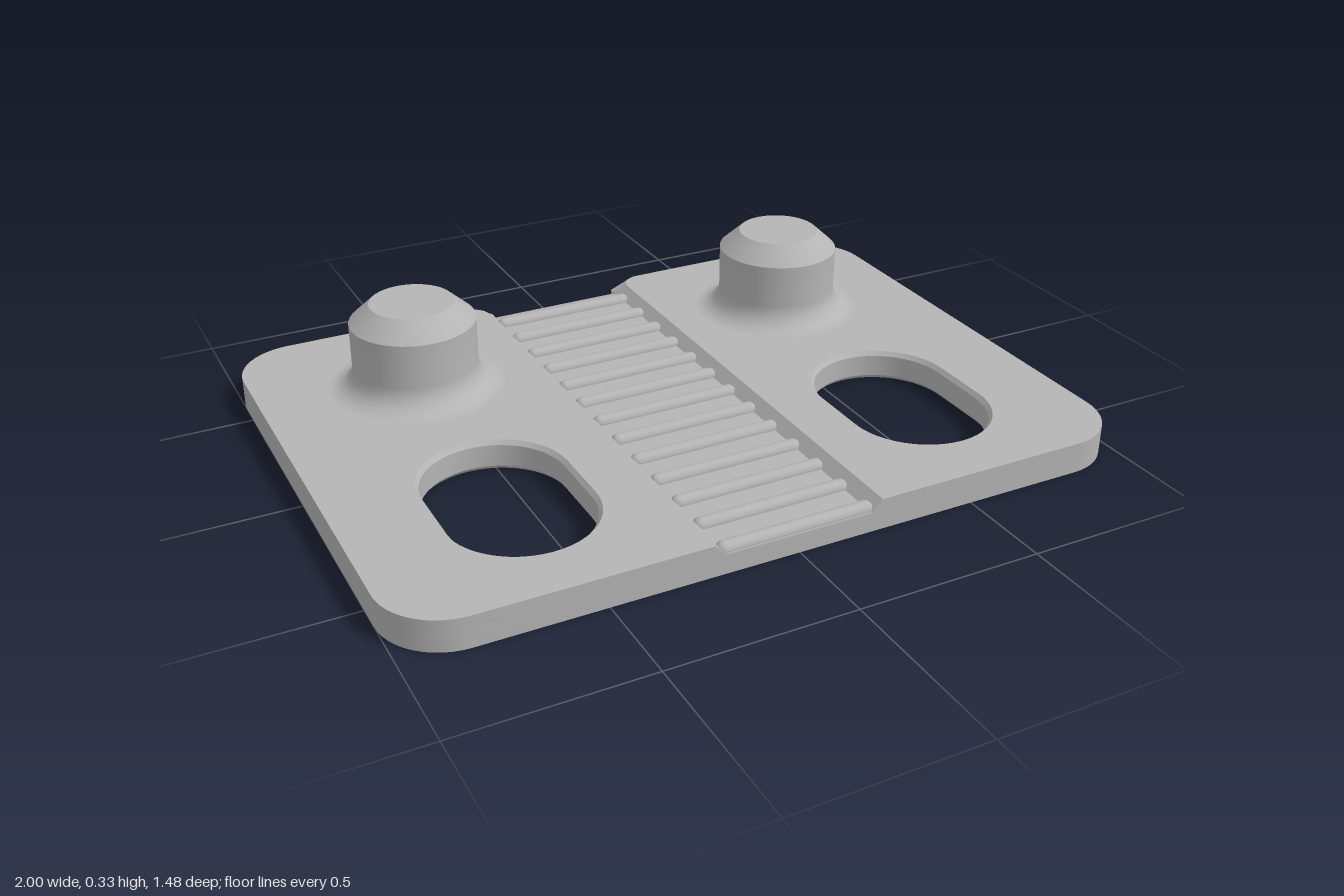
import * as THREE from 'three';
import { toCreasedNormals } from 'three/addons/utils/BufferGeometryUtils.js';

const H = 0.085, FLOOR = 0.054, W = 1, D = 0.74, CORNER = 0.17;
const PI = Math.PI;

export function createModel() {
  const group = new THREE.Group();
  const grey = new THREE.MeshStandardMaterial({ color: 0xb4b4b4, side: THREE.DoubleSide });
  grey.name = 'plain grey';

  const add = (name, geo, x = 0, y = 0, z = 0) => {
    const mesh = new THREE.Mesh(geo, grey);
    mesh.name = name;
    mesh.position.set(x, y, z);
    group.add(mesh);
  };

  // Plan points are (x, -z); arcs run from a0 to a1
  const arc = (cx, cy, r, a0, a1, n = 12) => Array.from({ length: n + 1 }, (_, i) => {
    const a = a0 + (a1 - a0) * i / n;
    return new THREE.Vector2(cx + r * Math.cos(a), cy + r * Math.sin(a));
  });
  const flip = (pts, s) => pts.map(p => new THREE.Vector2(p.x * s, p.y));
  const v = (x, y) => new THREE.Vector2(x, y);
  const slot = (s, r) => flip([...arc(0.573, -0.225, r, 0, PI, 24), ...arc(0.573, -0.395, r, PI, 2 * PI, 24)], s);

  const slabOf = (outline, holes, y0, y1) => {
    const shape = new THREE.Shape(outline);
    shape.holes = holes.map(h => new THREE.Path(h));
    const g = new THREE.ExtrudeGeometry(shape, { depth: y1 - y0, bevelEnabled: false });
    g.rotateX(-PI / 2).translate(0, y0, 0);
    return toCreasedNormals(g, 0.5);
  };

  // Skin a list of cross-sections, each an array of Vector3
  const loft = (rows) => {
    const n = rows[0].length, pos = rows.flat().flatMap(p => p.toArray()), index = [];
    for (let i = 0; i < rows.length - 1; i++) {
      for (let j = 0; j < n - 1; j++) {
        const a = i * n + j, b = a + n;
        index.push(a, b, a + 1, a + 1, b, b + 1);
      }
    }
    const g = new THREE.BufferGeometry();
    g.setAttribute('position', new THREE.Float32BufferAttribute(pos, 3));
    g.setIndex(index);
    return toCreasedNormals(g, 0.5);
  };

  const rightBack = arc(W - CORNER, D - CORNER, CORNER, 0, PI / 2);
  const rightFront = arc(W - CORNER, -D + CORNER, CORNER, -PI / 2, 0);

  // Base slab up to the channel floor, notched for the rounded back lip
  add('baseSlab', slabOf([
    ...rightFront, ...rightBack, v(0.2, D), v(0.2, 0.7), v(-0.2, 0.7), v(-0.2, D),
    ...flip(rightBack, -1).reverse(), ...flip(rightFront, -1).reverse(),
  ], [slot(1, 0.197), slot(-1, 0.197)], 0, FLOOR));

  // Rounded back lip of the channel
  const lip = new THREE.Shape([v(0.7, 0), v(D, 0), v(D, 0.03), v(0.733, 0.042), v(0.72, 0.05), v(0.7, FLOOR)]);
  const lipGeo = new THREE.ExtrudeGeometry(lip, { depth: 0.4, bevelEnabled: false });
  lipGeo.rotateY(PI / 2).translate(-0.2, 0, 0);
  add('channelBackLip', toCreasedNormals(lipGeo, 0.6));

  // Post: fillet, shaft, chamfer, flat top
  const postProfile = [
    ...arc(0.242, 0.155, 0.07, 1.5 * PI, PI, 10),
    v(0.172, 0.278), v(0.115, 0.33), v(0, 0.33),
  ];
  const postGeo = toCreasedNormals(new THREE.LatheGeometry(postProfile, 48), 0.5);

  for (const s of [1, -1]) {
    const side = s > 0 ? 'left' : 'right';

    // Raised pad with a flared inner back corner
    const flare = arc(0.29, D - 0.06, 0.06, PI / 2, PI, 8);
    add(side + 'Pad', slabOf(
      flip([v(0.23, -D), ...rightFront, ...rightBack, ...flare], s),
      [slot(s, 0.197)], FLOOR, H));

    // Sloping channel wall following the pad edge
    const edge = flip([...flare, v(0.23, -D)], s);
    add(side + 'ChannelWall', loft([
      edge.map(p => new THREE.Vector3(p.x, H, -p.y)),
      edge.map(p => new THREE.Vector3(0.2 * s, FLOOR, -p.y)),
    ]));
    for (const [x, z] of [[0.23, D], [0.29, -D]]) {
      const cap = [[x, H], [x, FLOOR], [0.2, FLOOR]].map(([a, b]) => new THREE.Vector3(a * s, b, z));
      if (s * z > 0) cap.reverse();
      const g = new THREE.BufferGeometry().setFromPoints(cap.reverse());
      g.computeVertexNormals();
      add(side + 'ChannelWallEnd', g);
    }

    // Slot lining with chamfered rims
    const rim = (r, y) => {
      const pts = slot(s, r);
      return [...pts, pts[0]].map(p => new THREE.Vector3(p.x, y, -p.y));
    };
    add(side + 'SlotLining', loft([rim(0.197, H), rim(0.187, 0.073), rim(0.187, 0.012), rim(0.197, 0)]));

    add(side + 'Post', postGeo, 0.572 * s, 0, -0.354);
  }

  // Round grip ribs across the channel
  const ribGeo = new THREE.CapsuleGeometry(0.021, 0.39, 6, 16);
  ribGeo.rotateZ(PI / 2);
  for (let i = 0; i < 13; i++) add('rib', ribGeo, 0, FLOOR, 0.715 - i * 0.114);

  return group;
}
